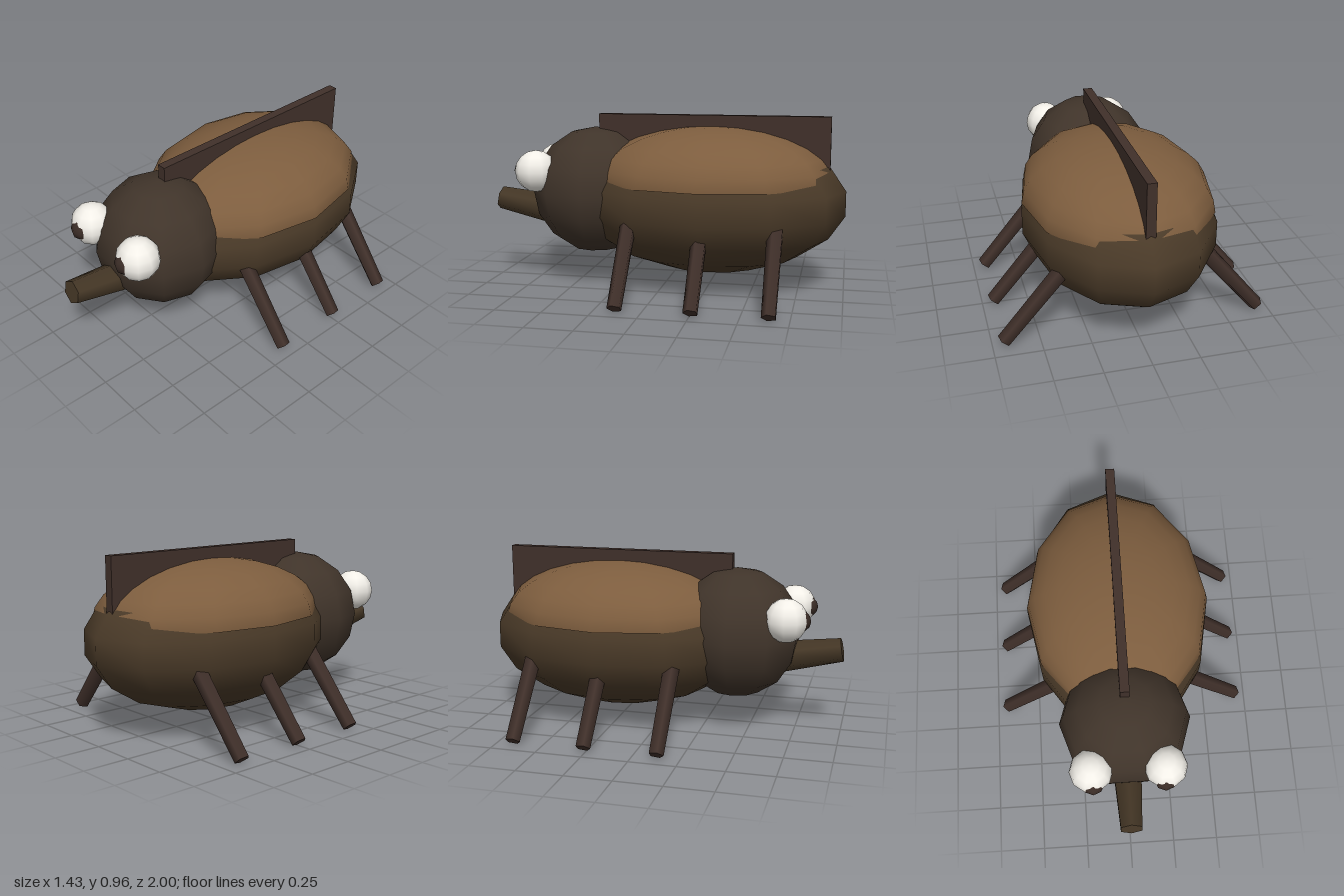
import * as THREE from 'three';

const mat = (color, side = THREE.FrontSide) => new THREE.MeshStandardMaterial({ color, side });

export function createModel() {
  const model = new THREE.Group();
  model.name = 'beetle';

  const bodyMat = mat(0x4a3a28);
  const headMat = mat(0x40342a);
  const shellMat = mat(0x7d5d3e, THREE.DoubleSide);
  const limbMat = mat(0x40302a);
  const snoutMat = mat(0x453726);
  const whiteMat = mat(0xf2efe8);
  const pupilMat = mat(0x3a2c26);

  const add = (name, geometry, material, x, y, z) => {
    const mesh = new THREE.Mesh(geometry, material);
    mesh.name = name;
    mesh.position.set(x, y, z);
    model.add(mesh);
    return mesh;
  };

  // Cylinder between two points, r0 at the start and r1 at the end
  const rod = (name, a, b, r0, r1, sides, material) => {
    const dir = b.clone().sub(a);
    const mid = a.clone().add(b).multiplyScalar(0.5);
    const mesh = add(name, new THREE.CylinderGeometry(r1, r0, dir.length(), sides), material, mid.x, mid.y, mid.z);
    mesh.quaternion.setFromUnitVectors(new THREE.Vector3(0, 1, 0), dir.normalize());
    return mesh;
  };

  // Body
  add('body', new THREE.SphereGeometry(1, 12, 9), bodyMat, 0, 0.49, -0.26).scale.set(0.52, 0.4, 0.75);

  // Wing case: upper half of a flattened ball
  add('wingCase', new THREE.SphereGeometry(1, 12, 7, 0, Math.PI * 2, 0, Math.PI / 2), shellMat, 0, 0.6, -0.26)
    .scale.set(0.51, 0.305, 0.68);

  // Straight ridge along the back
  add('backRidge', new THREE.BoxGeometry(0.05, 0.33, 1.295), limbMat, 0, 0.8, -0.263);

  // Head and snout
  add('head', new THREE.SphereGeometry(0.36, 10, 8), headMat, 0, 0.53, 0.41);
  rod('snout', new THREE.Vector3(0, 0.392, 0.6), new THREE.Vector3(0, 0.462, 0.992), 0.093, 0.066, 6, snoutMat);

  for (const side of [-1, 1]) {
    const label = side > 0 ? 'left' : 'right';

    // Eyes
    add(label + 'Eye', new THREE.SphereGeometry(0.117, 10, 8), whiteMat, side * 0.197, 0.652, 0.705);
    add(label + 'Pupil', new THREE.SphereGeometry(0.06, 8, 6), pupilMat, side * 0.19, 0.652, 0.775);

    // Legs, splayed outward
    [['Front', 0.131], ['Middle', -0.26], ['Back', -0.65]].forEach(([part, z]) => {
      const leg = add(label + part + 'Leg', new THREE.CylinderGeometry(0.045, 0.04, 0.48, 5), limbMat,
        side * 0.534, 0.215, z);
      leg.rotation.z = side * 0.695;
    });
  }

  return model;
}
